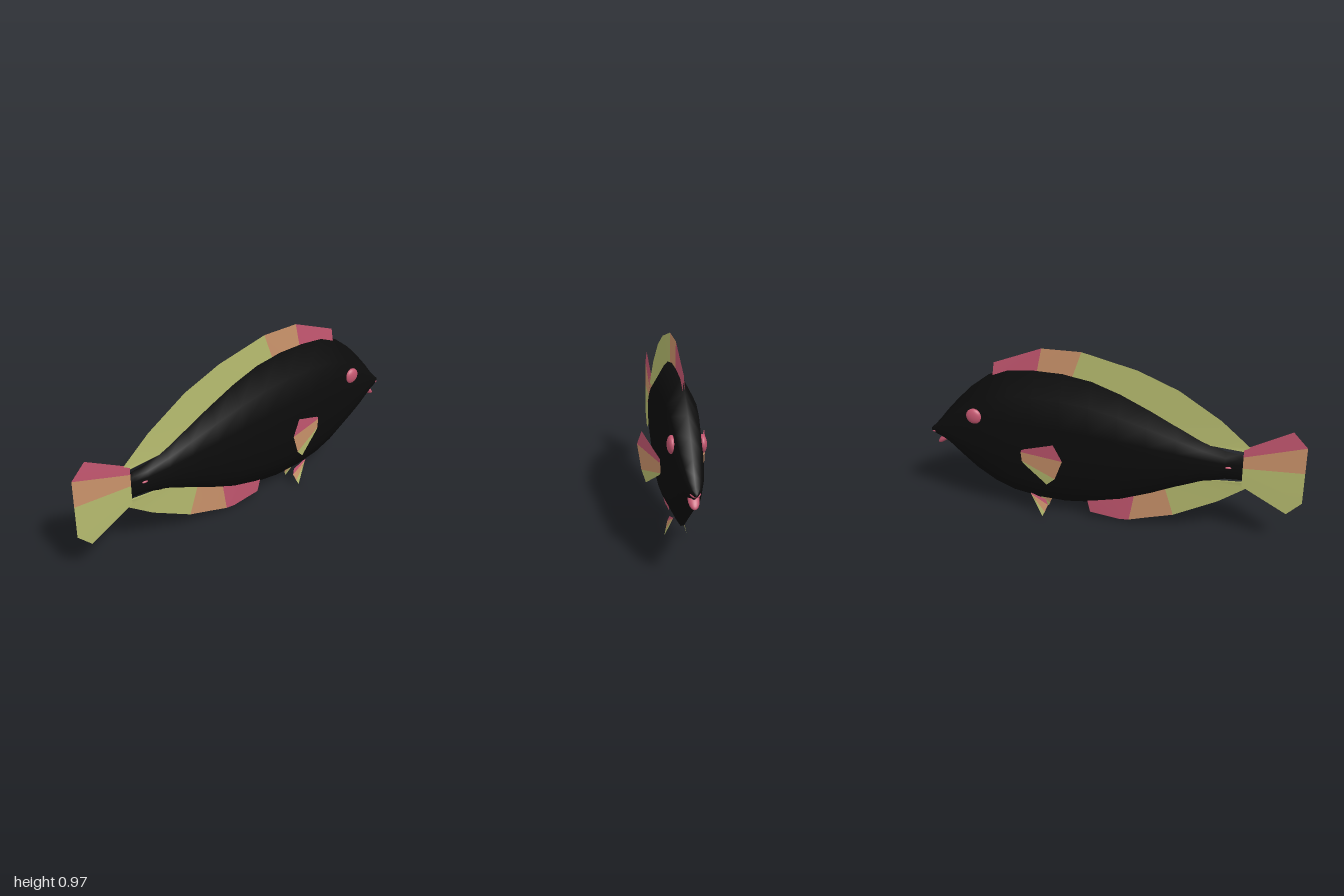
import * as THREE from 'three';

const paint = (name, color, side = THREE.FrontSide) => {
  const m = new THREE.MeshStandardMaterial({ color, side });
  m.name = name;
  return m;
};

// Loft the body through rings: [z, top, bottom, half width]
function bodyGeometry() {
  const sections = [
    [-1, 0.445, 0.428, 0.008], [-0.975, 0.468, 0.412, 0.022], [-0.94, 0.508, 0.395, 0.034],
    [-0.9, 0.56, 0.365, 0.045], [-0.83, 0.64, 0.3, 0.06], [-0.75, 0.722, 0.23, 0.07],
    [-0.65, 0.8, 0.165, 0.08], [-0.54, 0.845, 0.12, 0.086], [-0.4, 0.86, 0.095, 0.088],
    [-0.25, 0.858, 0.09, 0.088], [-0.1, 0.833, 0.107, 0.085], [0.05, 0.78, 0.142, 0.078],
    [0.2, 0.71, 0.2, 0.068], [0.35, 0.632, 0.268, 0.055], [0.48, 0.565, 0.322, 0.042],
    [0.6, 0.518, 0.358, 0.027], [0.67, 0.51, 0.362, 0.013], [0.705, 0.5, 0.366, 0.004],
  ];
  const half = [[0.175, 0.8], [0.4, 1], [0.62, 1], [0.82, 0.82]];
  const ring = [[0, 0], ...half, [1, 0], ...half.slice().reverse().map(([f, w]) => [f, -w])];
  const n = ring.length, pos = [], idx = [];
  for (const [z, top, bottom, w] of sections)
    for (const [f, k] of ring) pos.push(k * w, bottom + (top - bottom) * f, z);
  for (let s = 0; s < sections.length - 1; s++)
    for (let i = 0; i < n; i++) {
      const a = s * n + i, b = s * n + (i + 1) % n;
      idx.push(a, b, a + n, b, b + n, a + n);
    }
  // Close the snout and the tail root
  const last = (sections.length - 1) * n;
  for (let i = 1; i < n - 1; i++) {
    idx.push(0, i + 1, i);
    idx.push(last, last + i, last + i + 1);
  }
  const g = new THREE.BufferGeometry();
  g.setAttribute('position', new THREE.Float32BufferAttribute(pos, 3));
  g.setIndex(idx);
  g.computeVertexNormals();
  return g;
}

// Fin of rays [tipZ, tipY, rootZ, rootY], thick at the root and sharp at the tip.
// bands holds the material index of each gap between rays; xAt places it sideways.
function finGeometry(rays, bands, thick, xAt = () => 0) {
  const pos = [], idx = [], g = new THREE.BufferGeometry();
  for (const side of [1, -1])
    for (const [tz, ty, rz, ry] of rays)
      pos.push(xAt(tz, ty), ty, tz, xAt(rz, ry) + side * thick, ry, rz);
  bands.forEach((band, i) => {
    const a = i * 2, b = (rays.length + i) * 2;
    g.addGroup(idx.length, 12, band);
    idx.push(a, a + 1, a + 2, a + 1, a + 3, a + 2);
    idx.push(b, b + 2, b + 1, b + 1, b + 2, b + 3);
  });
  g.setAttribute('position', new THREE.Float32BufferAttribute(pos, 3));
  g.setIndex(idx);
  g.computeVertexNormals();
  return g;
}

export function createModel() {
  const fish = new THREE.Group();
  fish.name = 'fish';
  const black = paint('black skin', 0x0c0c0c);
  const pink = paint('rose pink', 0xc2566f, THREE.DoubleSide);
  const orange = paint('tan orange', 0xc9926a, THREE.DoubleSide);
  const green = paint('olive green', 0xb5ba6e, THREE.DoubleSide);
  const finColors = [pink, orange, green];

  const add = (name, geometry, material) => {
    const m = new THREE.Mesh(geometry, material);
    m.name = name;
    fish.add(m);
    return m;
  };
  const blob = (name, position, scale, tilt = 0) => {
    const m = add(name, new THREE.SphereGeometry(1, 20, 14), pink);
    m.position.set(...position);
    m.scale.set(...scale);
    m.rotation.x = tilt;
  };

  add('body', bodyGeometry(), black);

  // Fins on the centre line
  add('dorsalFin', finGeometry([
    [-0.62, 0.87, -0.63, 0.79], [-0.36, 0.975, -0.39, 0.83], [-0.15, 0.978, -0.205, 0.82],
    [0.14, 0.91, 0.05, 0.74], [0.35, 0.825, 0.25, 0.66], [0.57, 0.685, 0.48, 0.545],
    [0.72, 0.555, 0.69, 0.53],
  ], [0, 1, 2, 2, 2, 2], 0.006), finColors);
  add('analFin', finGeometry([
    [-0.115, 0.04, -0.13, 0.12], [0.047, 0.02, 0.02, 0.15], [0.1, 0.025, 0.13, 0.19],
    [0.2, 0.055, 0.2, 0.22], [0.34, 0.095, 0.29, 0.27], [0.57, 0.215, 0.48, 0.335],
    [0.72, 0.32, 0.69, 0.35],
  ], [0, 0, 1, 1, 2, 2], 0.006), finColors);
  add('tailFin', finGeometry([
    [0.925, 0.67, 0.69, 0.54], [1, 0.59, 0.69, 0.5], [1, 0.445, 0.69, 0.435],
    [1, 0.27, 0.69, 0.35], [0.925, 0.195, 0.69, 0.33],
  ], [0, 1, 2, 2], 0.008), finColors);

  // Paired fins, eyes and tail spines
  for (const [label, s] of [['left', 1], ['right', -1]]) {
    add(label + 'PectoralFin', finGeometry([
      [-0.264, 0.515, -0.46, 0.425], [-0.212, 0.435, -0.465, 0.412],
      [-0.26, 0.315, -0.46, 0.36], [-0.31, 0.265, -0.45, 0.348],
    ], [0, 1, 2], 0.003, (z) => s * (0.085 + (z + 0.47) * 0.34)), finColors);
    add(label + 'PelvicFin', finGeometry([
      [-0.355, 0.1, -0.445, 0.125], [-0.342, 0.07, -0.44, 0.12],
      [-0.358, 0.03, -0.435, 0.112], [-0.37, 0.005, -0.42, 0.1],
    ], [0, 1, 2], 0.002, (z, y) => s * (0.024 + (0.12 - y) * 0.28)), finColors);
    blob(label + 'Eye', [s * 0.069, 0.58, -0.722], [0.021, 0.043, 0.043]);
    blob(label + 'TailSpine', [s * 0.022, 0.437, 0.617], [0.007, 0.006, 0.018]);
  }

  // Lips
  blob('upperLip', [0, 0.435, -0.968], [0.024, 0.011, 0.031], -0.3);
  blob('lowerLip', [0, 0.395, -0.925], [0.026, 0.016, 0.055], -0.7);
  return fish;
}
